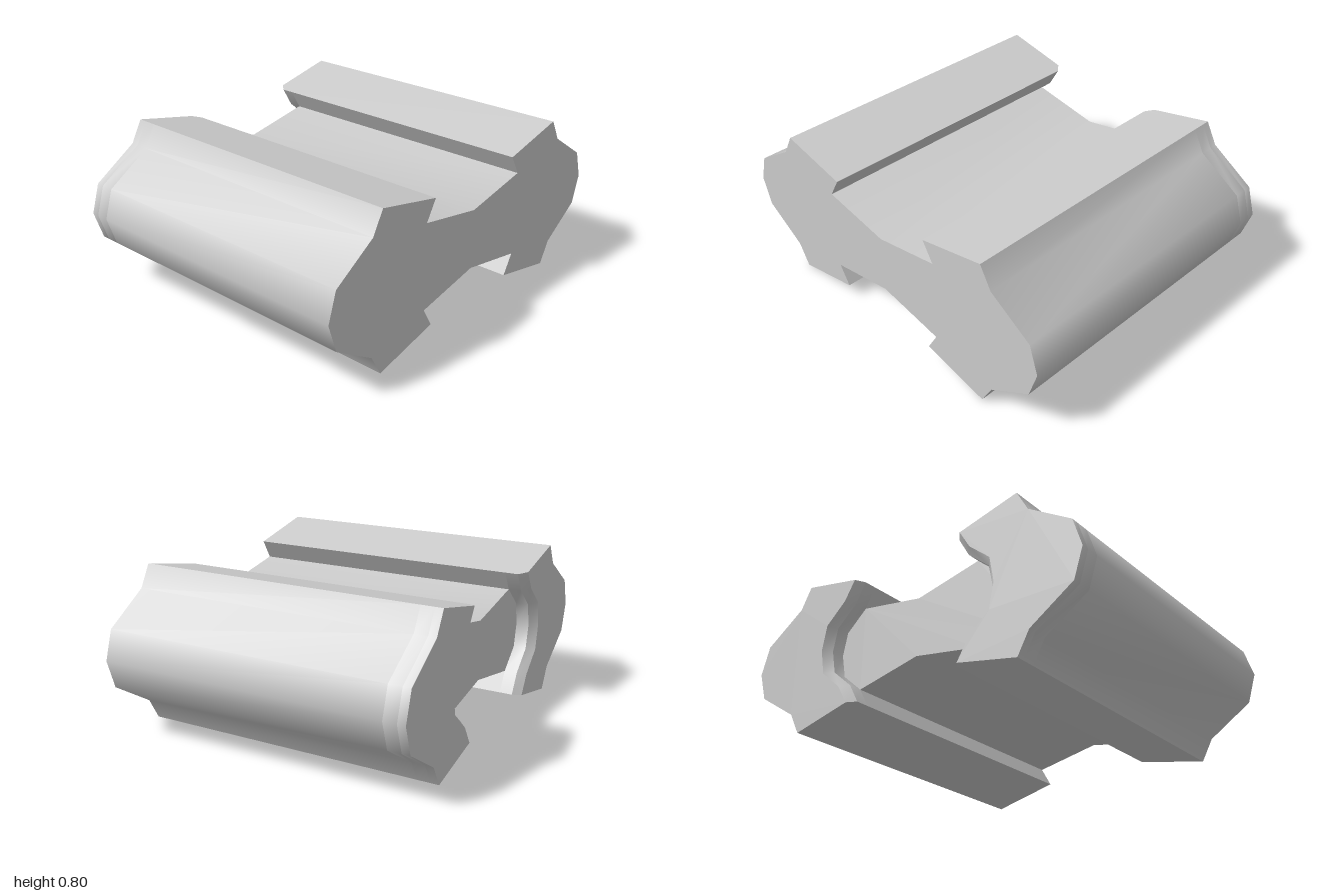
import * as THREE from 'three';
import { toCreasedNormals } from 'three/addons/utils/BufferGeometryUtils.js';

const MID = 0.4, FRONT = 0.783, BACK = -0.783, FLOOR = -0.677, BEVEL = -0.743;
const CREASE = 0.75;

// Upper right quarter of the outline, from the side tip to the lip of the jaw
const outer = [[1, 0.4], [0.954, 0.545], [0.728, 0.69], [0.667, 0.8]];
// Inner wall of the back recess, and the same wall after the bevel
const wall = [[0.305, 0.72], [0.363, 0.62], [0.48, 0.52], [0.505, 0.4]];
const wallBevelled = [[0.34, 0.728], [0.4, 0.63], [0.516, 0.53], [0.541, 0.4]];

const flipY = ([x, y]) => [x, 2 * MID - y];
const flipX = ([x, y]) => [-x, y];
const mirrored = (points, flip) => points.map(flip).reverse();

function extrude(points, z0, z1) {
  const shape = new THREE.Shape(points.map(([x, y]) => new THREE.Vector2(x, y)));
  const geometry = new THREE.ExtrudeGeometry(shape, { depth: z1 - z0, bevelEnabled: false });
  return geometry.translate(0, 0, z0);
}

function addMesh(group, name, geometry) {
  const material = new THREE.MeshStandardMaterial({ color: 0xcccccc });
  const mesh = new THREE.Mesh(toCreasedNormals(geometry, CREASE), material);
  mesh.name = name;
  group.add(mesh);
}

// Closed outline of one side block, from its top half
function blockOutline(inner) {
  const top = [...outer, ...inner];
  return [...top, ...mirrored(top.slice(1, -1), flipY)];
}

export function createModel() {
  const group = new THREE.Group();
  group.name = 'doubleDovetailBlock';

  // Main body: the full double dovetail profile
  const quarter = [...outer, ...wall.slice(0, 2)];
  const top = [...quarter, [0, 0.552], ...mirrored(quarter, flipX)];
  const profile = [...top, ...mirrored(top.slice(1, -1), flipY)];
  addMesh(group, 'body', extrude(profile, FLOOR, FRONT));

  // Side blocks standing proud at the back, around the recess
  for (const side of [1, -1]) {
    const place = ([x, y]) => [side * x, y];
    const from = blockOutline(wall).map(place);
    const to = blockOutline(wallBevelled).map(place);
    const label = side > 0 ? 'left' : 'right';
    addMesh(group, label + 'RecessWall', extrude(from, BEVEL, FLOOR));

    // Bevelled rim: pull the inner edge outwards at the back face
    const rim = extrude(from, BACK, BEVEL);
    const pos = rim.attributes.position;
    for (let i = 0; i < pos.count; i++) {
      if (pos.getZ(i) > (BACK + BEVEL) / 2) continue;
      const k = from.findIndex(([x, y]) => Math.hypot(x - pos.getX(i), y - pos.getY(i)) < 1e-4);
      pos.setXY(i, to[k][0], to[k][1]);
    }
    addMesh(group, label + 'RecessRim', rim);
  }
  return group;
}
